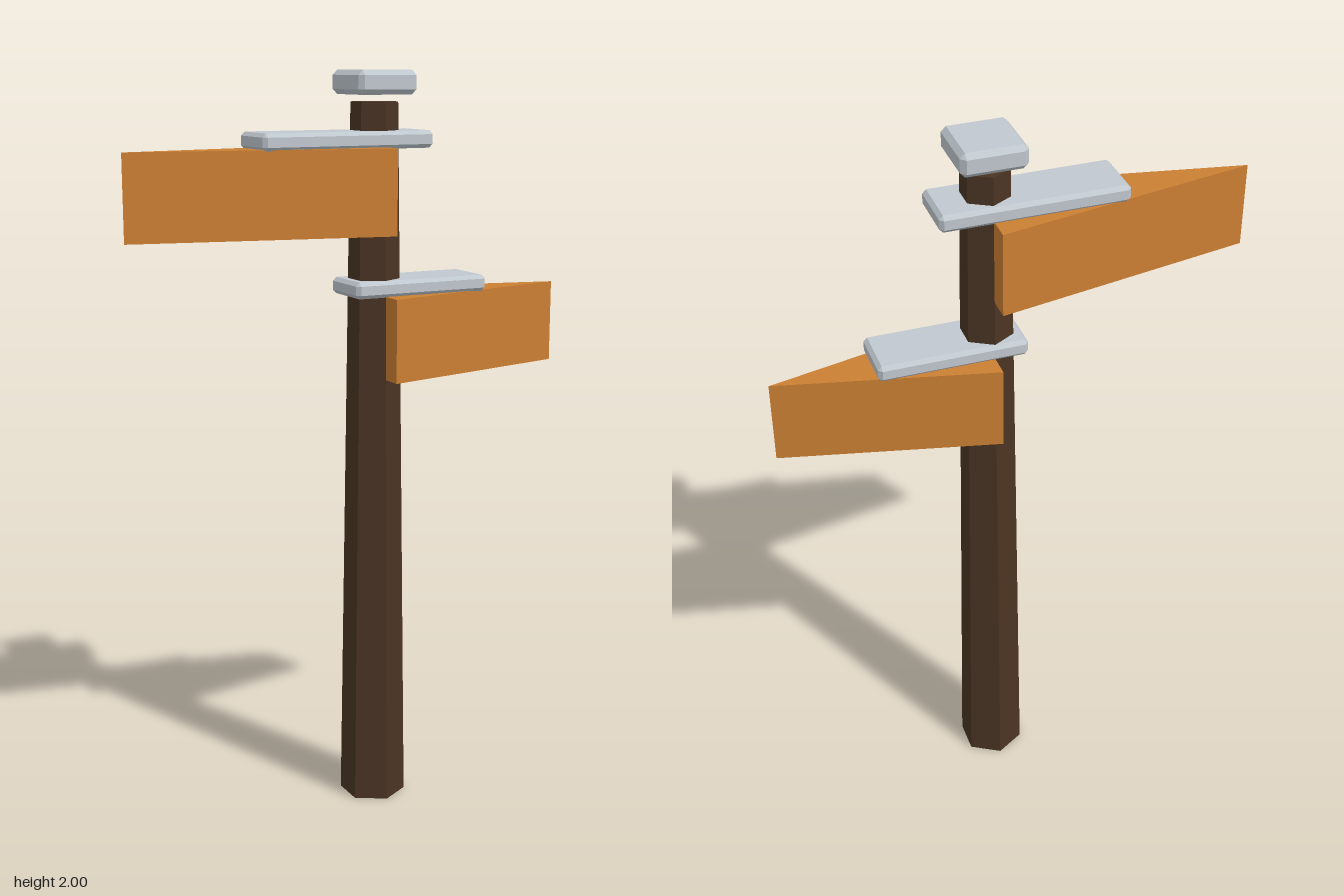
import * as THREE from 'three';
import { ConvexGeometry } from 'three/addons/geometries/ConvexGeometry.js';

const POST_X = 0.063;

function material(name, color) {
  const m = new THREE.MeshStandardMaterial({ color, flatShading: true });
  m.name = name;
  return m;
}

// Box with every edge chamfered by c, given by its x and y extents and half depth
function chamferedBox(x0, x1, y0, y1, halfZ, c) {
  const half = [(x1 - x0) / 2, (y1 - y0) / 2, halfZ];
  const points = [];
  for (const sx of [-1, 1]) for (const sy of [-1, 1]) for (const sz of [-1, 1]) {
    for (let axis = 0; axis < 3; axis++) {
      // each corner is cut into three points, one on each face
      const [x, y, z] = half.map((h, i) => (i === axis ? h : h - c));
      points.push(new THREE.Vector3(sx * x, sy * y, sz * z));
    }
  }
  return new ConvexGeometry(points).translate((x0 + x1) / 2, (y0 + y1) / 2, 0);
}

// Triangular wedge pointing along x, widest at the post
function pointedBoard(tipX, y0, y1) {
  const shape = new THREE.Shape([
    new THREE.Vector2(POST_X, -0.131),
    new THREE.Vector2(tipX, 0),
    new THREE.Vector2(POST_X, 0.131),
  ]);
  return new THREE.ExtrudeGeometry(shape, { depth: y1 - y0, bevelEnabled: false })
    .rotateX(-Math.PI / 2)
    .translate(0, y0, 0);
}

export function createModel() {
  const group = new THREE.Group();
  group.name = 'signpost';
  const darkWood = material('dark wood', 0x4a3423);
  const orangeWood = material('orange wood', 0xcb7f33);
  const snow = material('snow', 0xc0c8cf);

  const add = (name, geometry, mat) => {
    const mesh = new THREE.Mesh(geometry, mat);
    mesh.name = name;
    group.add(mesh);
  };

  // Tapered six-sided post
  add('post', new THREE.CylinderGeometry(0.062, 0.09, 1.92, 6).translate(POST_X, 0.96, 0), darkWood);

  // Direction boards
  add('upperBoard', pointedBoard(-0.628, 1.583, 1.806), orangeWood);
  add('lowerBoard', pointedBoard(0.626, 1.197, 1.419), orangeWood);

  // Snow lying on the post and boards
  add('postSnow', chamferedBox(-0.021, 0.147, 1.938, 2, 0.086, 0.013), snow);
  add('upperBoardSnow', chamferedBox(-0.284, 0.199, 1.802, 1.847, 0.078, 0.01), snow);
  add('lowerBoardSnow', chamferedBox(-0.024, 0.366, 1.417, 1.461, 0.078, 0.01), snow);

  return group;
}
